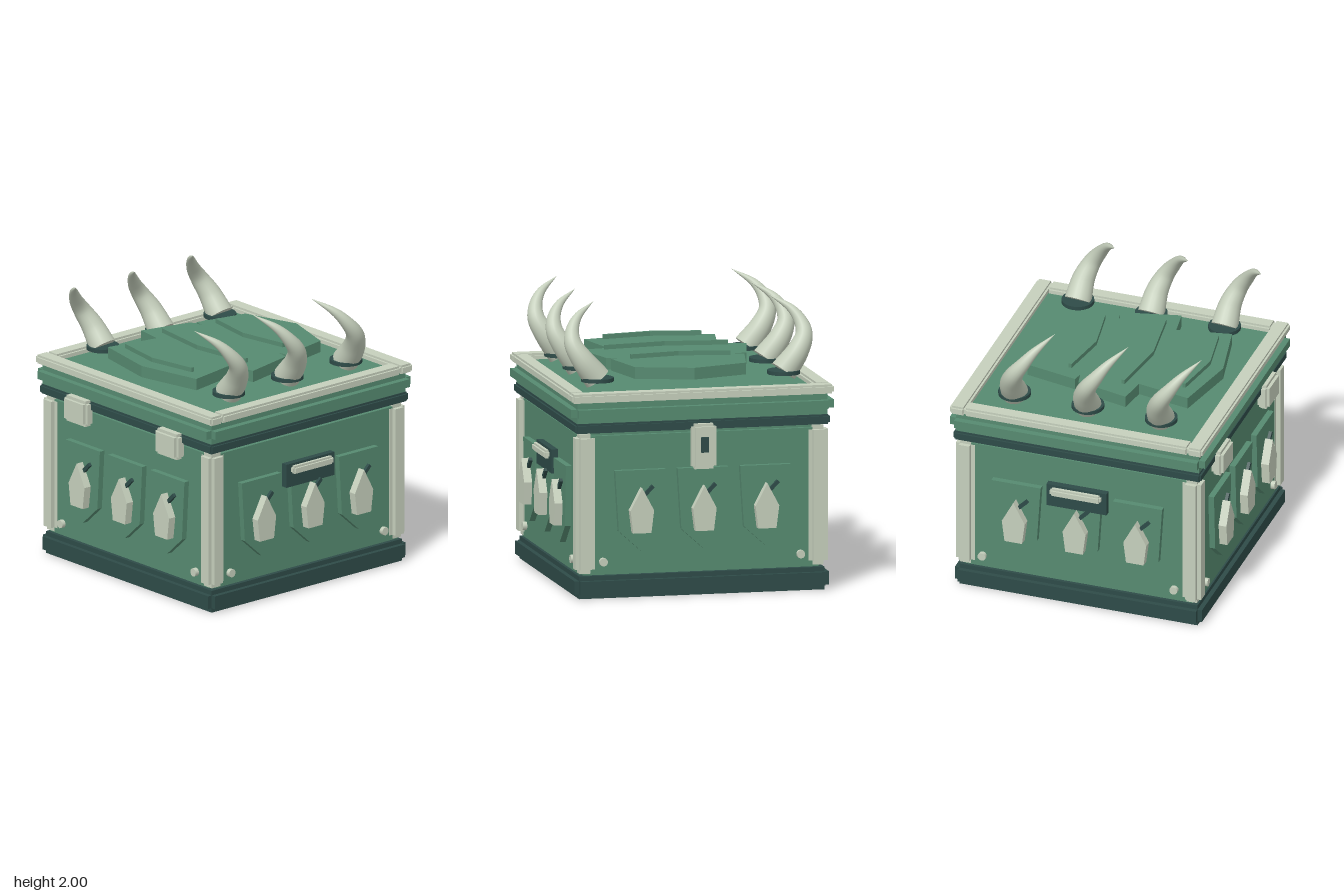
import * as THREE from 'three';
import { mergeGeometries } from 'three/addons/utils/BufferGeometryUtils.js';

const paint = (name, color) => {
  const m = new THREE.MeshStandardMaterial({ color });
  m.name = name;
  return m;
};

export function createModel() {
  const green = paint('chest green', 0x568a70);
  const bone = paint('pale bone', 0xc5cfbc);
  const dark = paint('dark teal', 0x2e4b48);

  const model = new THREE.Group();
  model.name = 'hornedChest';
  const chest = new THREE.Group();
  chest.name = 'chest';
  chest.position.z = 0.006;
  model.add(chest);

  const add = (parent, name, geo, mat, x = 0, y = 0, z = 0) => {
    const mesh = new THREE.Mesh(geo, mat);
    mesh.name = name;
    mesh.position.set(x, y, z);
    parent.add(mesh);
    return mesh;
  };

  // Box with notched edges: three overlapping boxes, each full size along one axis
  const stepped = (w, h, d, s) => mergeGeometries([
    new THREE.BoxGeometry(w, h - 2 * s, d - 2 * s),
    new THREE.BoxGeometry(w - 2 * s, h, d - 2 * s),
    new THREE.BoxGeometry(w - 2 * s, h - 2 * s, d),
  ]);

  const slab = (points, depth) => new THREE.ExtrudeGeometry(
    new THREE.Shape(points.map(([x, y]) => new THREE.Vector2(x, y))),
    { depth, bevelEnabled: false });

  // Horizontal slab from (x, z) points
  const flatSlab = (points, depth) =>
    slab(points.map(([x, z]) => [x, -z]), depth).rotateX(-Math.PI / 2);

  // Body and lid
  add(chest, 'base', stepped(1.83, 0.16, 1.83, 0.033), dark, 0, 0.08, 0);
  add(chest, 'body', stepped(1.75, 1.04, 1.75, 0.03), green, 0, 0.66, 0);
  add(chest, 'rim', stepped(1.835, 0.07, 1.835, 0.014), dark, 0, 1.21, 0);
  add(chest, 'lid', stepped(1.89, 0.148, 1.89, 0.045), green, 0, 1.319, 0);
  add(chest, 'lidDeck', new THREE.BoxGeometry(1.66, 0.03, 1.66), green, 0, 1.4, 0);

  // Corner posts and lid trim
  for (const sx of [-1, 1]) {
    for (const sz of [-1, 1]) {
      add(chest, 'cornerPost', stepped(0.14, 0.99, 0.14, 0.03), bone, sx * 0.838, 0.672, sz * 0.838);
    }
    add(chest, 'lidSideTrim', stepped(0.115, 0.064, 1.66, 0.015), bone, sx * 0.884, 1.425, 0);
    add(chest, 'lidEndTrim', stepped(1.885, 0.064, 0.115, 0.015), bone, 0, 1.425, sx * 0.879);
  }

  // Four walls, each with three shields, a gem and a bar on every shield, and studs
  const shieldGeo = slab([[-0.182, 0.905], [-0.155, 0.475], [0, 0.335], [0.155, 0.475], [0.182, 0.905]], 0.047);
  const gemGeo = slab([[0, 0.785], [-0.085, 0.625], [-0.065, 0.465], [0.065, 0.465], [0.085, 0.625]], 0.06);
  const barGeo = new THREE.BoxGeometry(0.095, 0.026, 0.03);
  const studGeo = new THREE.CylinderGeometry(0.03, 0.03, 0.04, 10).rotateX(Math.PI / 2);
  ['frontWall', 'leftWall', 'backWall', 'rightWall'].forEach((name, i) => {
    const wall = new THREE.Group();
    wall.name = name;
    wall.rotation.y = i * Math.PI / 2;
    chest.add(wall);
    for (const x of [-0.45, 0, 0.45]) {
      add(wall, 'shield', shieldGeo, green, x, 0, 0.87);
      add(wall, 'gem', gemGeo, bone, x, 0, 0.915);
      add(wall, 'shieldBar', barGeo, dark, x + 0.055, 0.757, 0.925).rotation.z = Math.PI / 4;
    }
    for (const x of [-0.71, 0.71]) add(wall, 'stud', studGeo, bone, x, 0.258, 0.885);

    if (i % 2) { // carrying handles
      add(wall, 'handlePlate', new THREE.BoxGeometry(0.445, 0.17, 0.05), dark, 0, 0.87, 0.897);
      add(wall, 'handle', stepped(0.375, 0.058, 0.05, 0.014), bone, 0, 0.913, 0.941);
    } else if (i === 0) { // front latches
      for (const x of [-0.486, 0.486]) {
        add(wall, 'latch', stepped(0.245, 0.188, 0.09, 0.022), bone, x, 1.158, 0.927);
      }
    } else { // back clasp
      add(wall, 'clasp', stepped(0.175, 0.32, 0.09, 0.02), bone, 0, 1.06, 0.926);
      add(wall, 'keyhole', new THREE.BoxGeometry(0.052, 0.108, 0.03), dark, 0, 1.075, 0.971);
    }
  });

  // Raised plate on the lid, mirrored from one half outline
  const half = [[0.4, -0.54], [0.48, -0.16], [0.41, -0.145], [0.505, -0.125],
    [0.595, 0.255], [0.395, 0.285], [0.47, 0.672]];
  const outline = [[0, -0.667], ...half, [0, 0.77], ...half.map(([x, z]) => [-x, z]).reverse()];
  add(model, 'lidPlate', flatSlab(outline, 0.083), green, 0, 1.488, 0);

  // Chevron ridges on the plate
  for (const [w, z] of [[0.357, -0.25], [0.445, 0.172], [0.353, 0.592]]) {
    const ridge = [[-w, z], [0, z + 0.06], [w, z], [w, z + 0.023], [0, z + 0.083], [-w, z + 0.023]];
    add(model, 'lidRidge', flatSlab(ridge, 0.032), green, 0, 1.58, 0);
  }

  // Curved horns on round sockets: a tube whose radius tapers to the tip
  const makeHorn = (side) => {
    const path = new THREE.CatmullRomCurve3([
      [0, 1.5, 0], [0.1, 1.63, 0.01], [0.16, 1.74, 0.055],
      [0.155, 1.82, 0.11], [0.1, 1.91, 0.18], [-0.04, 2.0, 0.285],
    ].map(([x, y, z]) => new THREE.Vector3(side * x, y, z)));
    const rings = 28, sides = 20;
    const geo = new THREE.TubeGeometry(path, rings, 1, sides, false);
    const pos = geo.attributes.position;
    const p = new THREE.Vector3();
    for (let i = 0; i <= rings; i++) {
      const u = i / rings, c = path.getPointAt(u);
      const r = 0.095 * (1 - Math.pow(u, 1.2)) + 0.0005;
      for (let j = 0; j <= sides; j++) {
        const k = i * (sides + 1) + j;
        p.fromBufferAttribute(pos, k).sub(c).multiplyScalar(r).add(c);
        pos.setXYZ(k, p.x, p.y, p.z);
      }
    }
    // Closed root facing back along the path
    const cap = new THREE.CircleGeometry(0.0955, sides);
    cap.applyQuaternion(new THREE.Quaternion().setFromUnitVectors(
      new THREE.Vector3(0, 0, 1), path.getTangentAt(0).negate()));
    cap.translate(0, 1.5, 0);
    return mergeGeometries([geo, cap]);
  };
  const socketGeo = new THREE.CylinderGeometry(0.115, 0.115, 0.027, 24);
  for (const side of [-1, 1]) {
    const hornGeo = makeHorn(side);
    for (const z of [-0.54, 0.003, 0.546]) {
      add(model, 'hornSocket', socketGeo, dark, side * 0.67, 1.497, z);
      add(model, 'horn', hornGeo, bone, side * 0.67, 0, z);
    }
  }
  return model;
}
